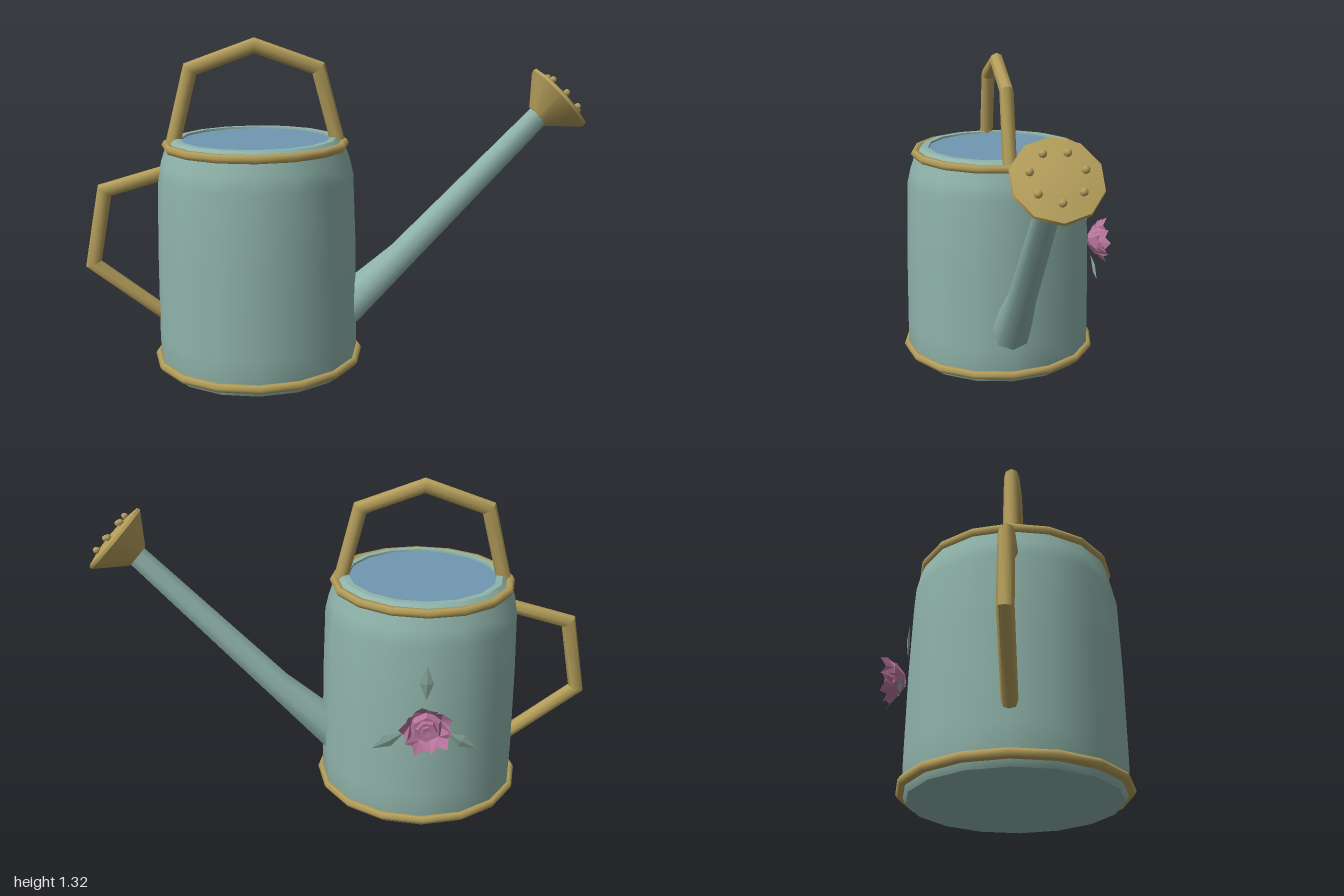
import * as THREE from 'three';
import { toCreasedNormals } from 'three/addons/utils/BufferGeometryUtils.js';

const CX = -0.315, CZ = 0.035; // vertical axis of the can

function material(name, color, extra = {}) {
  const m = new THREE.MeshStandardMaterial({ color, ...extra });
  m.name = name;
  return m;
}

const lathe = (points, sides, start = 0) =>
  new THREE.LatheGeometry(points.map(([r, y]) => new THREE.Vector2(r, y)), sides, start);

// Mitred tube along a path in the xy plane; each point is [x, y, radius]
function mitredTube(path, sides = 8) {
  const pos = [], index = [];
  const dir = i => new THREE.Vector2(path[i + 1][0] - path[i][0], path[i + 1][1] - path[i][1]).normalize();
  const last = path.length - 1;
  path.forEach(([x, y, r], i) => {
    const d0 = dir(Math.max(i - 1, 0)), d1 = dir(Math.min(i, last - 1));
    const t = d0.clone().add(d1).normalize();
    const stretch = 1 / t.dot(d1);
    for (let j = 0; j < sides; j++) {
      const a = (j / sides) * Math.PI * 2;
      const n = r * stretch * Math.cos(a);
      pos.push(x - t.y * n, y + t.x * n, r * Math.sin(a));
    }
  });
  for (let i = 0; i < last; i++) {
    for (let j = 0; j < sides; j++) {
      const a = i * sides + j, b = i * sides + (j + 1) % sides;
      index.push(a, b, a + sides, b, b + sides, a + sides);
    }
  }
  // end caps
  const end = last * sides;
  for (let j = 1; j < sides - 1; j++) {
    index.push(0, j + 1, j, end, end + j, end + j + 1);
  }
  const g = new THREE.BufferGeometry();
  g.setAttribute('position', new THREE.Float32BufferAttribute(pos, 3));
  g.setIndex(index);
  return toCreasedNormals(g, 0.8);
}

// Small faceted sheet from a fan of corners around the first point
function fan(points) {
  const pos = [];
  for (let i = 1; i < points.length - 1; i++) pos.push(...points[0], ...points[i], ...points[i + 1]);
  const g = new THREE.BufferGeometry();
  g.setAttribute('position', new THREE.Float32BufferAttribute(pos, 3));
  g.computeVertexNormals();
  return g;
}

export function createModel() {
  const model = new THREE.Group();
  model.name = 'wateringCan';

  const teal = material('teal enamel', 0x8fb3aa);
  const gold = material('brass', 0xb39d5a);
  const blue = material('water blue', 0x7097b0);
  const pink = material('flower pink', 0xb5739a, { side: THREE.DoubleSide });
  const green = material('leaf green', 0x809f94, { side: THREE.DoubleSide });

  const add = (parent, name, geometry, mat, x = 0, y = 0, z = 0) => {
    const mesh = new THREE.Mesh(geometry, mat);
    mesh.name = name;
    mesh.position.set(x, y, z);
    parent.add(mesh);
    return mesh;
  };

  // Can body, underside, lip and water
  add(model, 'body', lathe([[0.385, 0], [0.402, 0.035], [0.403, 0.15], [0.398, 0.5],
    [0.388, 0.78], [0.374, 0.84], [0.352, 0.905]], 16), teal, CX, 0, CZ);
  add(model, 'underside', lathe([[0, 0], [0.385, 0]], 16), teal, CX, 0, CZ);
  add(model, 'lip', toCreasedNormals(lathe([[0.352, 0.9], [0.322, 0.93], [0.296, 0.93], [0.294, 0.915]], 16), 0.5),
    teal, CX, 0, CZ);
  add(model, 'water', lathe([[0.3, 0.922], [0, 0.922]], 16), blue, CX, 0, CZ);

  // Brass rings
  for (const [name, r, tube, y] of [['baseRing', 0.406, 0.018, 0.038], ['rimRing', 0.352, 0.018, 0.905]]) {
    const ring = new THREE.TorusGeometry(r, tube, 6, 16).rotateX(Math.PI / 2);
    add(model, name, ring, gold, CX, y, CZ);
  }

  // Handles
  const H = 0.029;
  add(model, 'topHandle', mitredTube([[-0.645, 0.89, H], [-0.565, 1.2, H], [CX, 1.29, H],
    [-0.065, 1.2, H], [0.015, 0.89, H]]), gold, 0, 0, CZ);
  add(model, 'sideHandle', mitredTube([[-0.67, 0.795, H], [-0.915, 0.725, H],
    [-0.972, 0.425, H], [-0.67, 0.19, H]]), gold, 0, 0, CZ);

  // Spout
  add(model, 'spout', mitredTube([[0.035, 0.215, 0.085], [0.272, 0.435, 0.06], [0.83, 1.015, 0.045]]),
    teal, 0, 0, CZ);

  // Sprinkler head with a ring of knobs
  const head = new THREE.Group();
  head.name = 'sprinklerHead';
  head.position.set(0.82, 1.005, CZ);
  head.rotation.z = -0.835;
  model.add(head);
  const cone = lathe([[0, -0.005], [0.052, -0.005], [0.155, 0.1], [0.152, 0.112],
    [0.08, 0.124], [0, 0.128]], 10, Math.PI / 2);
  add(head, 'sprinklerCone', toCreasedNormals(cone, 0.7), gold);
  for (let i = 0; i < 7; i++) {
    const a = (i / 7) * Math.PI * 2;
    add(head, 'sprinklerKnob', new THREE.SphereGeometry(0.014, 8, 6), gold,
      0.091 * Math.cos(a), 0.129, 0.091 * Math.sin(a));
  }

  // Flower on the back, built facing +z and turned around
  const flower = new THREE.Group();
  flower.name = 'flower';
  flower.position.set(CX, 0.48, -0.363);
  flower.rotation.y = Math.PI;
  model.add(flower);

  const petal = fan([[0, 0.062, 0.045], [0, 0.01, 0.008], [0.045, 0.045, 0.04], [0.055, 0.078, 0.088],
    [0.022, 0.082, 0.07], [0, 0.108, 0.09], [-0.03, 0.085, 0.068], [-0.05, 0.068, 0.08],
    [-0.045, 0.045, 0.04], [0, 0.01, 0.008]]);
  for (let i = 0; i < 5; i++) {
    add(flower, 'petal', petal, pink).rotation.z = (i / 5) * Math.PI * 2 + 0.2;
  }
  // bud of nested six-sided cups
  [[0.066, 0.066], [0.046, 0.078], [0.026, 0.086]].forEach(([r, top], i) => {
    const cup = lathe([[r * 0.4, 0.012], [r, top - 0.025], [r * 0.8, top], [0, top - 0.004]], 6);
    const mesh = add(flower, 'bud', toCreasedNormals(cup.rotateX(Math.PI / 2), 0.3), pink);
    mesh.rotation.z = i * 0.4;
  });

  // Three folded leaves around the flower
  const leaf = fan([[0, 0.16, 0.012], [0, 0.09, 0.004], [0.027, 0.165, 0.004],
    [0, 0.235, 0.003], [-0.027, 0.165, 0.004], [0, 0.09, 0.004]]);
  for (let i = 0; i < 3; i++) {
    add(flower, 'leaf', leaf, green).rotation.z = (i / 3) * Math.PI * 2;
  }

  return model;
}
